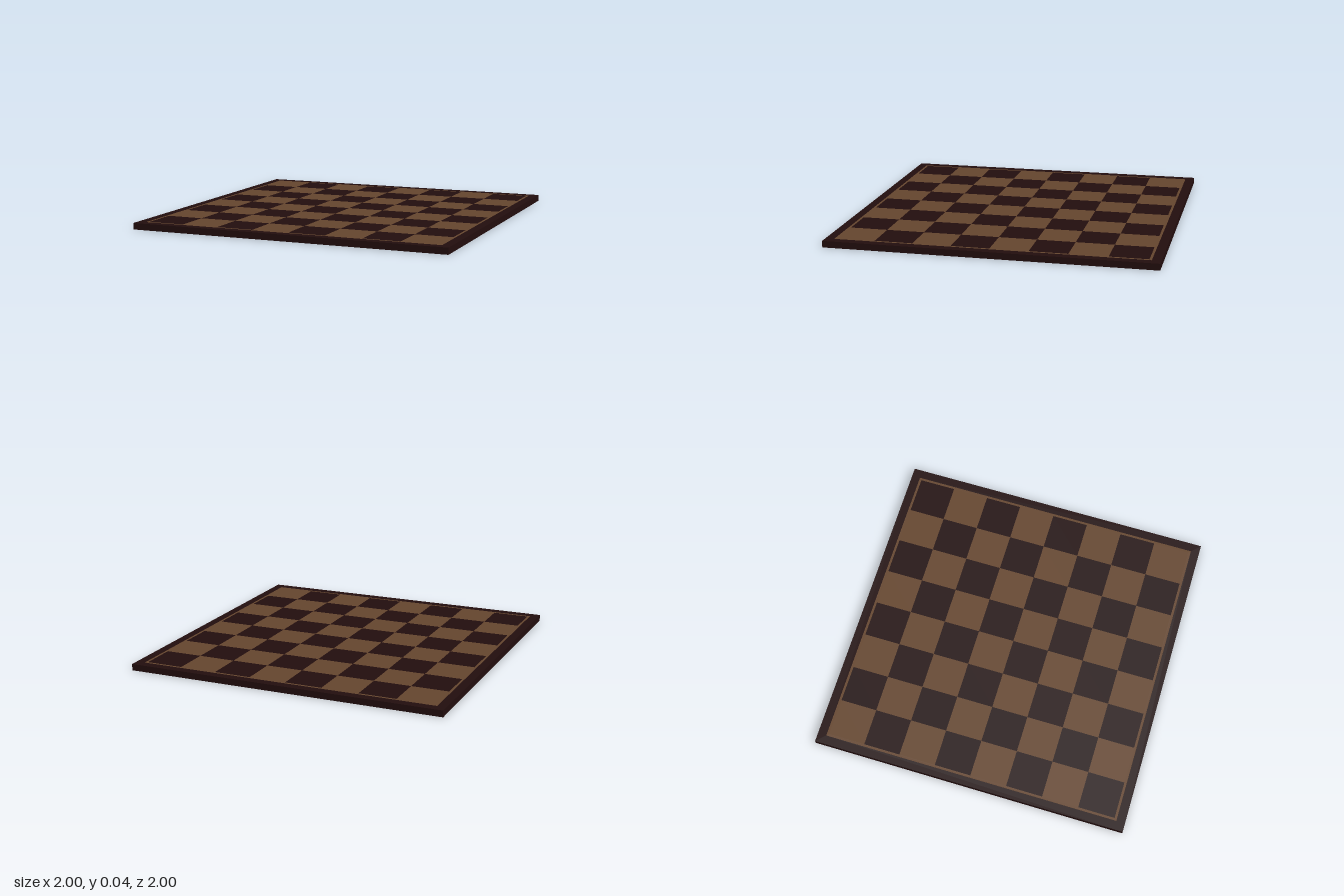
import * as THREE from 'three';

export function createModel() {
  const board = new THREE.Group();
  board.name = 'chequeredBoard';

  const darkWood = new THREE.MeshStandardMaterial({ color: 0x220d0d });
  darkWood.name = 'darkWood';
  const lightWood = new THREE.MeshStandardMaterial({ color: 0x64452d });
  lightWood.name = 'lightWood';

  const TOP = 0.04, INLAY = 0.004, BASE = TOP - INLAY;
  const FIELD = 0.93, LINE = 0.945; // half widths of the playing field and its border line
  const CELL = FIELD / 4;

  const add = (name, geometry, material, x, y, z) => {
    const mesh = new THREE.Mesh(geometry, material);
    mesh.name = name;
    mesh.position.set(x, y, z);
    board.add(mesh);
    return mesh;
  };

  const square = (Type, h) => new Type([
    new THREE.Vector2(-h, -h), new THREE.Vector2(h, -h),
    new THREE.Vector2(h, h), new THREE.Vector2(-h, h),
  ]);

  // Square frame lying flat, flush with the board's top
  const addFrame = (name, outer, inner, material) => {
    const shape = square(THREE.Shape, outer);
    shape.holes.push(square(THREE.Path, inner));
    const geometry = new THREE.ExtrudeGeometry(shape, { depth: INLAY, bevelEnabled: false });
    geometry.rotateX(-Math.PI / 2);
    add(name, geometry, material, 0, BASE, 0);
  };

  // Solid base, outer rim and thin border line
  add('base', new THREE.BoxGeometry(2, BASE, 2), darkWood, 0, BASE / 2, 0);
  addFrame('rim', 1, LINE, darkWood);
  addFrame('borderLine', LINE, FIELD, lightWood);

  // Eight by eight inlaid squares, light in the back right corner
  const tile = new THREE.BoxGeometry(CELL, INLAY, CELL);
  for (let row = 0; row < 8; row++) {
    for (let col = 0; col < 8; col++) {
      const light = (row + col) % 2 === 0;
      add(light ? 'lightSquare' : 'darkSquare', tile, light ? lightWood : darkWood,
        (col - 3.5) * CELL, BASE + INLAY / 2, (row - 3.5) * CELL);
    }
  }
  return board;
}
